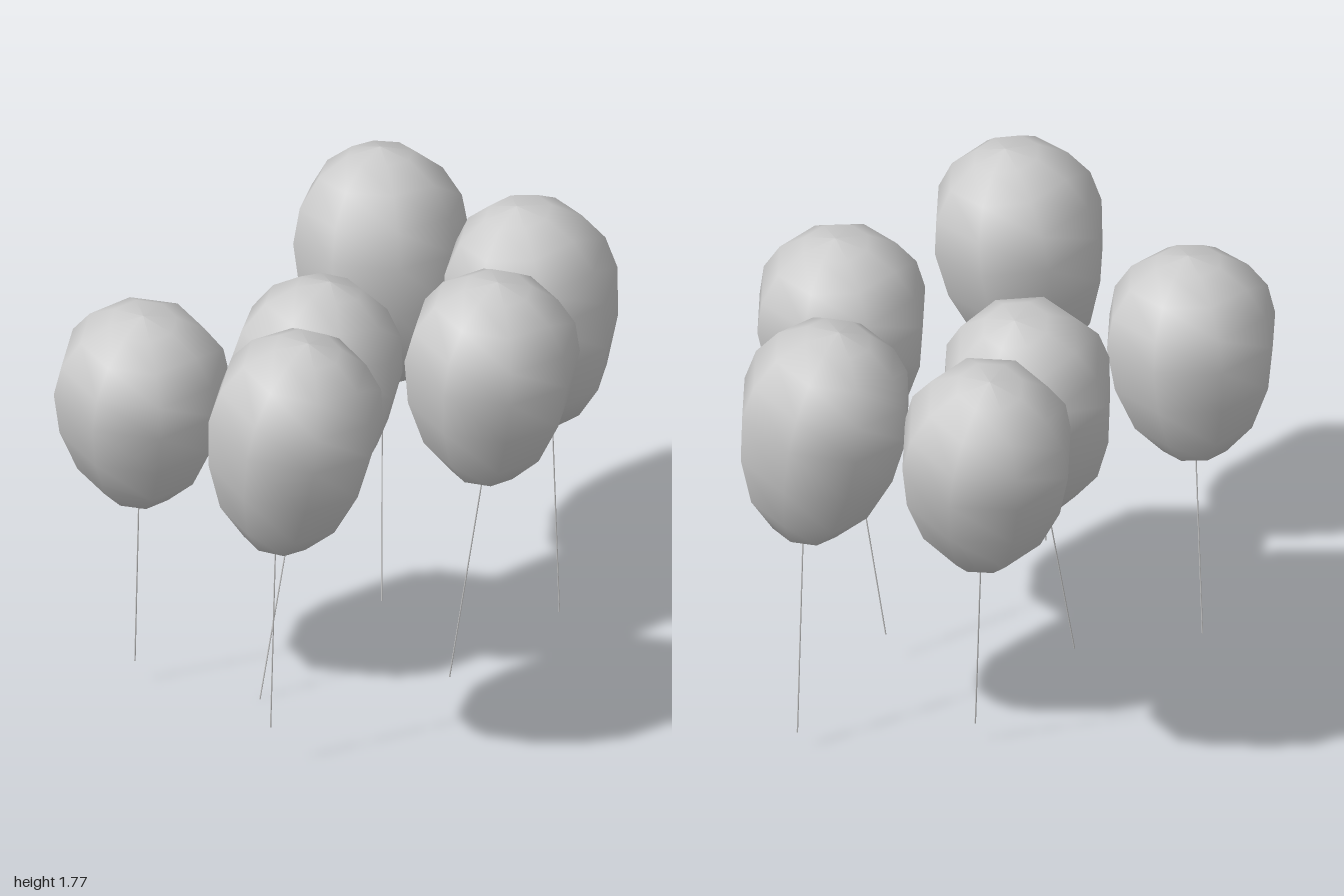
import * as THREE from 'three';

const RADIUS = 0.305;
const WIDEST = 0.62; // share of the height at which a balloon is widest

// Each balloon: knot at its lower tip, centre of its widest ring, height, loose end of its string
const BALLOONS = [
  { tip: [-0.69, 0.8, -0.055], mid: [-0.69, 1.28, -0.01], height: 0.785, end: [-0.69, 0.09, -0.12] },
  { tip: [-0.165, 0.715, -0.005], mid: [-0.075, 1.23, -0.06], height: 0.86, end: [-0.295, 0, 0.065] },
  { tip: [0.24, 0.875, -0.46], mid: [0.257, 1.4, -0.56], height: 0.87, end: [0.21, 0.08, -0.325] },
  { tip: [0.76, 0.875, -0.125], mid: [0.69, 1.4, -0.153], height: 0.86, end: [0.79, 0.07, -0.15] },
  { tip: [-0.335, 0.92, 0.513], mid: [-0.273, 1.44, 0.552], height: 0.855, end: [-0.345, 0.16, 0.48] },
  { tip: [0.43, 0.957, 0.297], mid: [0.46, 1.44, 0.307], height: 0.795, end: [0.33, 0.11, 0.225] },
];

// Egg-shaped profile from the knot to the crown, for a balloon one unit high
function balloonProfile() {
  const points = [];
  const lower = [0, 0.076, 0.31, 0.655, 1];
  for (let i = 0; i <= 8; i++) {
    const a = (i / 8) * Math.PI;
    const y = i <= 4 ? WIDEST * lower[i] : WIDEST - (1 - WIDEST) * Math.cos(a);
    points.push(new THREE.Vector2(i % 8 === 0 ? 0 : RADIUS * Math.sin(a), y));
  }
  return points;
}

export function createModel() {
  const model = new THREE.Group();
  model.name = 'balloonBunch';
  const material = new THREE.MeshStandardMaterial({ color: 0xcccccc });
  const up = new THREE.Vector3(0, 1, 0);
  const bodyGeometry = new THREE.LatheGeometry(balloonProfile(), 8);
  const stringGeometry = new THREE.CylinderGeometry(0.0025, 0.0025, 1, 6);

  BALLOONS.forEach((b) => {
    const balloon = new THREE.Group();
    balloon.name = 'balloon';
    const tip = new THREE.Vector3(...b.tip);
    const mid = new THREE.Vector3(...b.mid);
    const end = new THREE.Vector3(...b.end);

    // Inflated body, leaning away from its knot
    const body = new THREE.Mesh(bodyGeometry, material);
    body.name = 'balloonBody';
    body.position.copy(tip);
    body.scale.y = b.height;
    body.quaternion.setFromUnitVectors(up, mid.sub(tip).normalize());
    balloon.add(body);

    // Straight string hanging from the knot
    const string = new THREE.Mesh(stringGeometry, material);
    string.name = 'balloonString';
    string.position.copy(tip).add(end).multiplyScalar(0.5);
    string.scale.y = tip.distanceTo(end);
    string.quaternion.setFromUnitVectors(up, tip.clone().sub(end).normalize());
    balloon.add(string);

    model.add(balloon);
  });
  return model;
}
